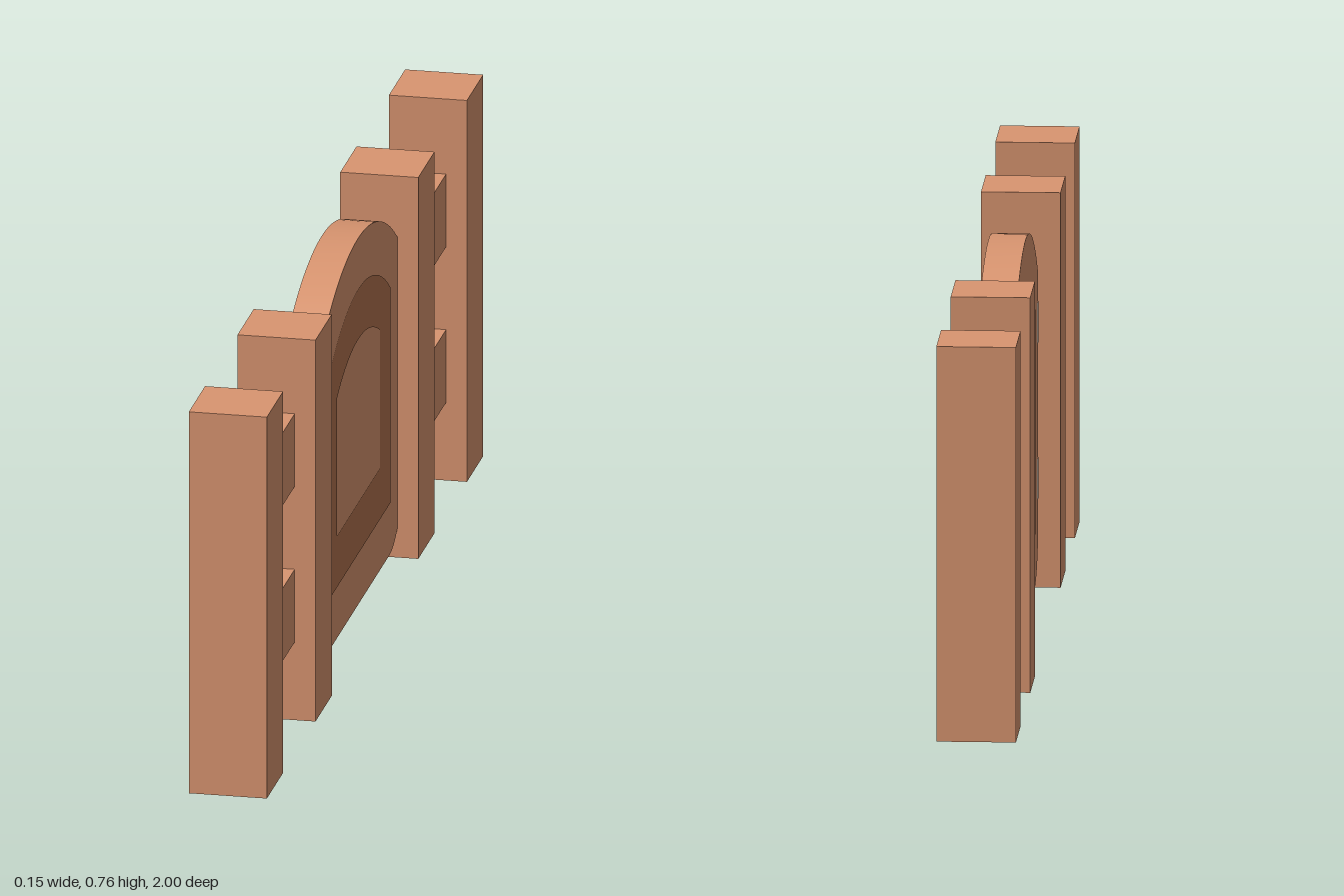
import * as THREE from 'three';
import { toCreasedNormals } from 'three/addons/utils/BufferGeometryUtils.js';

const wood = new THREE.MeshStandardMaterial({ color: 0xd99570 });
const darkWood = new THREE.MeshStandardMaterial({ color: 0xb4744f });
const metal = new THREE.MeshStandardMaterial({ color: 0xa9d0de });

const GATE_Z = -0.035;    // centre of the gate leaf
const GATE_HALF = 0.035;  // half thickness of the gate and rails

// Arch-topped outline: half width, bottom, shoulder height, peak height, lower corner radius
function archShape(w, bottom, shoulder, peak, r = 0) {
  const rise = peak - shoulder;
  const R = (w * w + rise * rise) / (2 * rise);
  const a = Math.asin(w / R);
  const s = new THREE.Shape();
  s.moveTo(-w + r, bottom);
  s.lineTo(w - r, bottom);
  if (r) s.absarc(w - r, bottom + r, r, -Math.PI / 2, 0, false);
  s.lineTo(w, shoulder);
  s.absarc(0, peak - R, R, Math.PI / 2 - a, Math.PI / 2 + a, false);
  if (r) {
    s.lineTo(-w, bottom + r);
    s.absarc(-w + r, bottom + r, r, Math.PI, Math.PI * 1.5, false);
  } else s.lineTo(-w, bottom);
  return s;
}

export function createModel() {
  const model = new THREE.Group();
  model.name = 'fenceGate';

  function add(parent, name, geometry, material, x, y, z) {
    const mesh = new THREE.Mesh(geometry, material);
    mesh.name = name;
    mesh.position.set(x, y, z);
    parent.add(mesh);
    return mesh;
  }

  // Fence section on each side: two posts joined by two rails
  const postGeo = new THREE.BoxGeometry(0.15, 0.76, 0.15);
  const railGeo = new THREE.BoxGeometry(GATE_HALF * 2, 0.145, 0.3);
  for (const side of [1, -1]) {
    const fence = new THREE.Group();
    fence.name = side > 0 ? 'frontFence' : 'backFence';
    add(fence, 'outerPost', postGeo, wood, 0, 0.38, side * 0.925);
    add(fence, 'innerPost', postGeo, wood, 0, 0.38, side * 0.475);
    add(fence, 'lowerRail', railGeo, wood, 0, 0.228, side * 0.7);
    add(fence, 'upperRail', railGeo, wood, 0, 0.538, side * 0.7);
    model.add(fence);
  }

  // Arched gate leaf, its back edge set into the post
  const gate = new THREE.Group();
  gate.name = 'gate';
  model.add(gate);
  let leafGeo = new THREE.ExtrudeGeometry(archShape(0.4, 0.03, 0.61, 0.76, 0.11), {
    depth: GATE_HALF * 2, bevelEnabled: false, curveSegments: 20,
  });
  leafGeo.translate(0, 0, -GATE_HALF);
  leafGeo.rotateY(Math.PI / 2);
  leafGeo = toCreasedNormals(leafGeo, 0.5);
  add(gate, 'gateLeaf', leafGeo, wood, 0, 0, GATE_Z);

  // Flush dark band and hinge plates on both faces
  const band = archShape(0.298, 0.133, 0.56, 0.66);
  band.holes.push(archShape(0.198, 0.235, 0.51, 0.56));
  const bandGeo = new THREE.ShapeGeometry(band, 20);
  const hingeGeo = new THREE.PlaneGeometry(0.036, 0.08);
  for (const side of [1, -1]) {
    const x = side * (GATE_HALF + 0.001);
    const turn = side * Math.PI / 2;
    add(gate, 'panelBand', bandGeo, darkWood, x, 0, GATE_Z).rotation.y = turn;
    for (const y of [0.222, 0.522]) {
      add(gate, 'hinge', hingeGeo, metal, x, y, 0.347).rotation.y = turn;
    }
  }

  return model;
}
